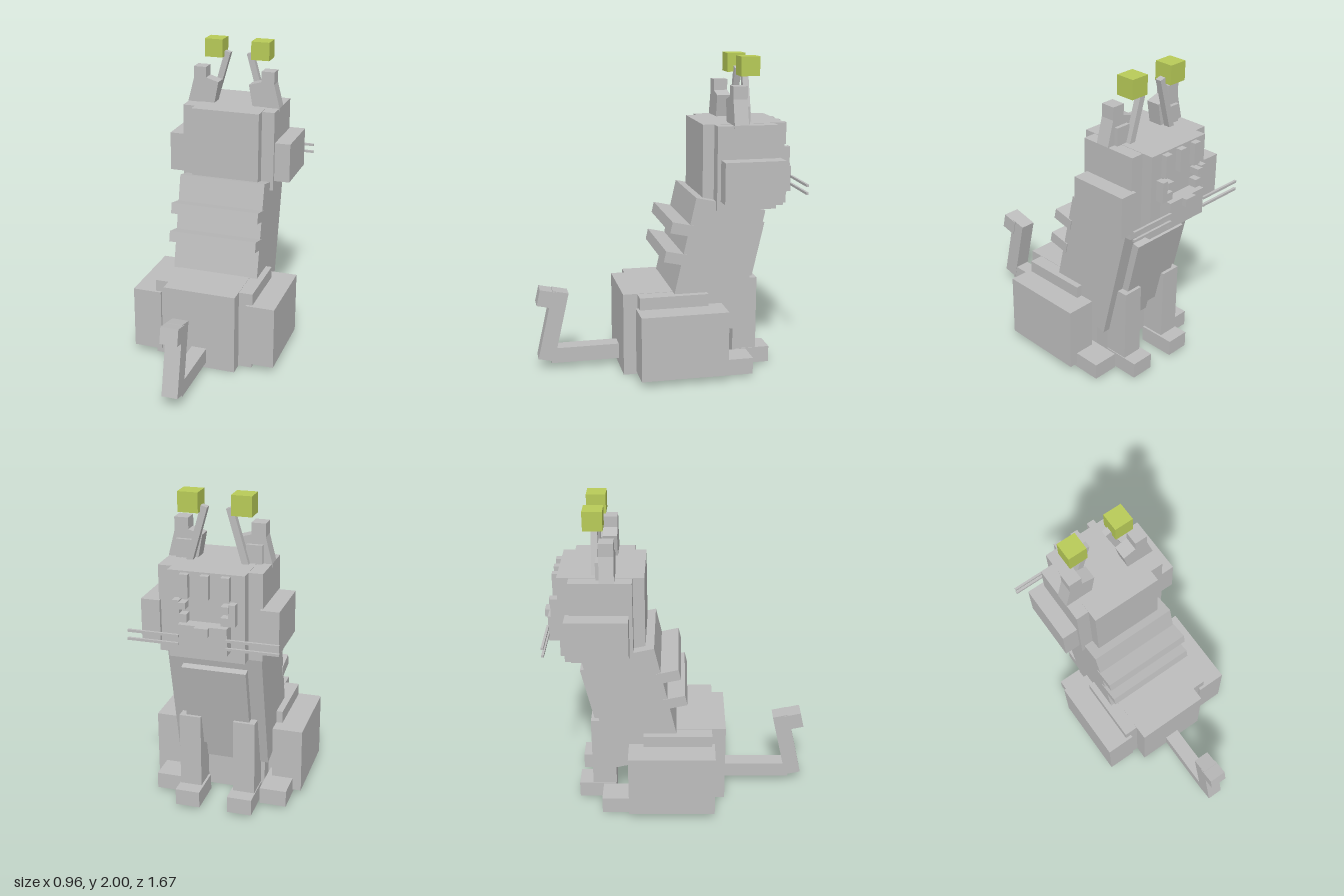
import * as THREE from 'three';

export function createModel() {
  const model = new THREE.Group();
  const grey = new THREE.MeshStandardMaterial({ color: 0xbdbdbd });
  grey.name = 'grey';
  const lime = new THREE.MeshStandardMaterial({ color: 0xb8cb58 });
  lime.name = 'lime';
  const LEAN = -0.22; // shared lean of torso and tail

  // box from its low and high limits on each axis
  function box(name, x0, x1, y0, y1, z0, z1, parent = model, mat = grey) {
    const mesh = new THREE.Mesh(new THREE.BoxGeometry(x1 - x0, y1 - y0, z1 - z0), mat);
    mesh.position.set((x0 + x1) / 2, (y0 + y1) / 2, (z0 + z1) / 2);
    mesh.name = name;
    parent.add(mesh);
    return mesh;
  }

  // the same box on both sides
  function pair(name, x0, x1, y0, y1, z0, z1, mat = grey) {
    box(name + 'Left', x0, x1, y0, y1, z0, z1, model, mat);
    box(name + 'Right', -x1, -x0, y0, y1, z0, z1, model, mat);
  }

  // hips and hind legs
  box('hipsWide', -0.33, 0.33, 0.003, 0.533, -0.22, 0.22);
  box('hipsLong', -0.24, 0.24, 0, 0.535, -0.31, 0.31);
  pair('haunch', 0.29, 0.48, 0.04, 0.455, -0.315, 0.238);
  pair('hindFoot', 0.256, 0.425, 0.015, 0.12, -0.49, -0.18);

  // leaning torso with chest plate and back ridges
  const torso = new THREE.Group();
  torso.name = 'torso';
  torso.position.set(0, 0.7075, -0.2825);
  torso.rotation.x = LEAN;
  model.add(torso);
  box('trunk', -0.29, 0.29, -0.3975, 0.3975, -0.229, 0.229, torso);
  box('chestPlate', -0.2, 0.2, -0.26, 0.305, -0.275, -0.2, torso);
  box('upperRidge', -0.295, 0.295, 0.152, 0.223, 0.2, 0.344, torso);
  box('lowerRidge', -0.295, 0.295, -0.036, 0.034, 0.2, 0.344, torso);

  // front legs
  pair('frontLeg', 0.104, 0.24, 0.1, 0.595, -0.56, -0.405);
  pair('frontFoot', 0.09, 0.245, 0.015, 0.12, -0.65, -0.41);

  // head
  box('headWide', -0.312, 0.312, 1.06, 1.588, -0.655, -0.272);
  box('headLong', -0.228, 0.228, 1.062, 1.59, -0.728, -0.2);
  pair('cheek', 0.3, 0.415, 1.12, 1.38, -0.68, -0.295);

  // face
  box('muzzle', -0.145, 0.145, 1.13, 1.295, -0.805, -0.72);
  box('nose', -0.042, 0.042, 1.245, 1.295, -0.835, -0.8);
  for (const y of [1.17, 1.22]) pair('whisker', 0.14, 0.45, y, y + 0.015, -0.815, -0.8);
  for (const x of [-0.122, 0, 0.122]) box('foreheadStripe', x - 0.025, x + 0.025, 1.44, 1.58, -0.765, -0.72);
  pair('eyeOuter', 0.145, 0.185, 1.3, 1.43, -0.78, -0.72);
  pair('eyeLower', 0.1, 0.185, 1.3, 1.35, -0.78, -0.72);
  pair('pupil', 0.105, 0.148, 1.38, 1.42, -0.79, -0.72);

  // ears and antennae
  const earOutline = [[0.315, 1.57], [0.315, 1.59], [0.275, 1.745], [0.275, 1.825], [0.19, 1.825],
    [0.19, 1.755], [0.105, 1.73], [0.135, 1.57]];
  for (const side of [1, -1]) {
    const shape = new THREE.Shape(earOutline.map(([x, y]) => new THREE.Vector2(x * side, y)));
    const ear = new THREE.Mesh(new THREE.ExtrudeGeometry(shape, { depth: 0.09, bevelEnabled: false }), grey);
    ear.name = side > 0 ? 'earLeft' : 'earRight';
    ear.position.z = -0.467;
    model.add(ear);

    const stalk = box('antennaStalk', -0.02, 0.02, -0.18, 0.18, -0.02, 0.02);
    stalk.position.set(0.125 * side, 1.74, -0.5);
    stalk.rotation.z = 0.28 * side;
  }
  pair('innerEar', 0.165, 0.262, 1.58, 1.7, -0.49, -0.46);
  pair('antennaTip', 0.098, 0.22, 1.88, 2, -0.56, -0.44, lime);

  // tail
  box('tailBase', -0.05, 0.05, 0.04, 0.14, 0.3, 0.75);
  const rise = box('tailRise', -0.052, 0.052, -0.232, 0.232, -0.052, 0.052);
  rise.position.set(0, 0.29, 0.7325);
  rise.rotation.x = LEAN;
  const tip = box('tailTip', -0.057, 0.057, -0.053, 0.053, -0.055, 0.055);
  tip.position.set(0, 0.477, 0.772);
  tip.rotation.x = LEAN;

  return model;
}
